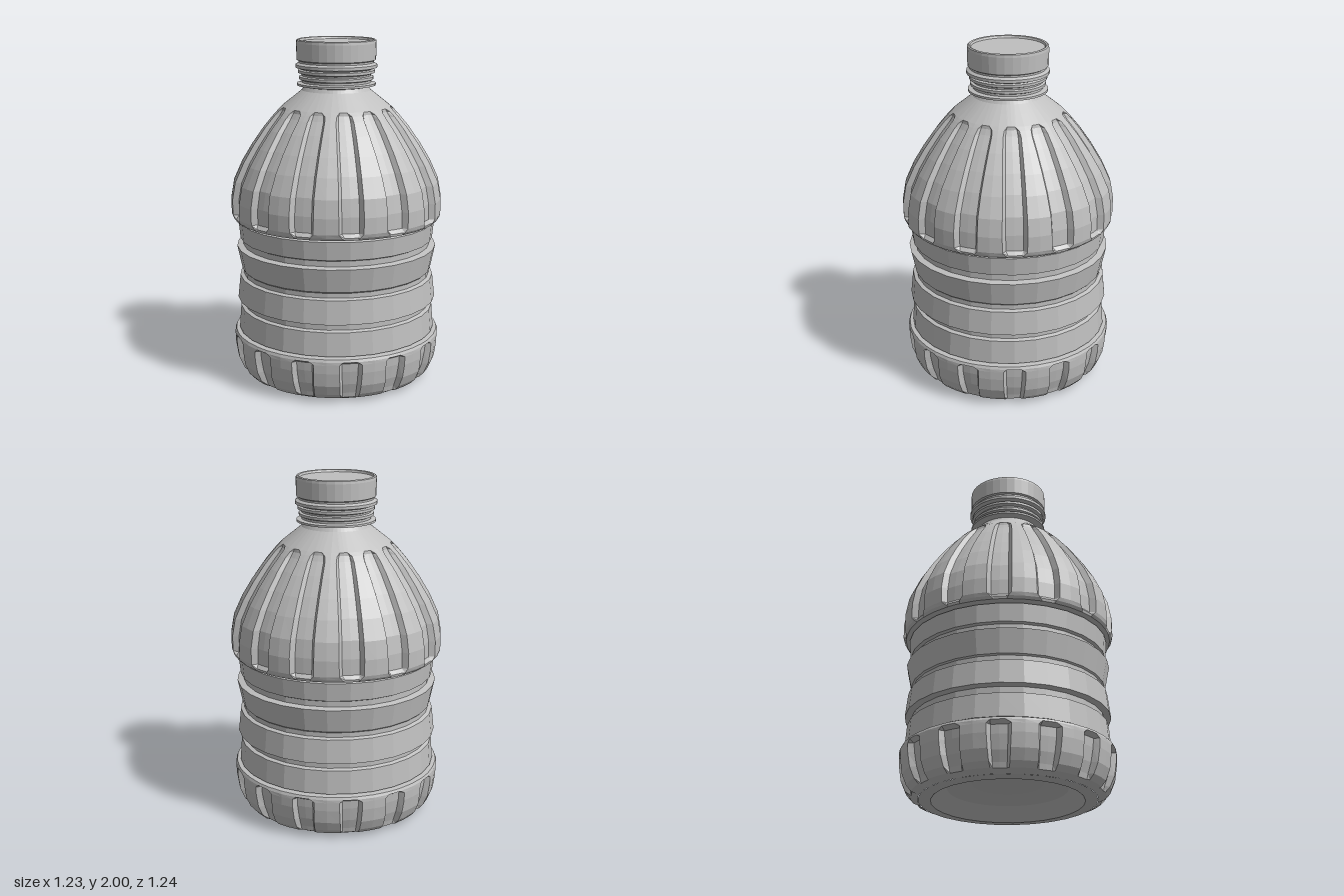
import * as THREE from 'three';

const FLUTES = 14;
const STEP = (Math.PI * 2) / FLUTES;

const plastic = new THREE.MeshStandardMaterial({ color: 0xbfbfbf, flatShading: true });
plastic.name = 'grey plastic';

function addMesh(group, name, geometry) {
  const mesh = new THREE.Mesh(geometry, plastic);
  mesh.name = name;
  group.add(mesh);
}

// Plain turned part; profile points are [radius, height], bottom to top
function turned(profile, segments) {
  return new THREE.LatheGeometry(profile.map(([r, y]) => new THREE.Vector2(r, y)), segments);
}

// Turned part with pressed-in flutes; rows are [height, radius, flute half width, flute depth]
function fluted(rows) {
  const positions = [];
  const indices = [];
  const columns = FLUTES * 6;
  for (const [y, r, half, depth] of rows) {
    const w = half / r;
    const floor = w * 0.74;
    const offsets = [[-w, 0], [-floor, 1], [0, 1], [floor, 1], [w, 0], [STEP / 2, 0]];
    for (let k = 0; k < FLUTES; k++) {
      for (const [offset, pressed] of offsets) {
        const a = Math.PI / 2 + k * STEP + offset;
        const radius = r - depth * pressed;
        positions.push(radius * Math.sin(a), y, radius * Math.cos(a));
      }
    }
  }
  for (let i = 0; i < rows.length - 1; i++) {
    for (let j = 0; j < columns; j++) {
      const a = i * columns + j;
      const b = i * columns + ((j + 1) % columns);
      indices.push(a, b, a + columns, b, b + columns, a + columns);
    }
  }
  const geometry = new THREE.BufferGeometry();
  geometry.setAttribute('position', new THREE.Float32BufferAttribute(positions, 3));
  geometry.setIndex(indices);
  geometry.computeVertexNormals();
  return geometry;
}

export function createModel() {
  const bottle = new THREE.Group();
  bottle.name = 'bottle';

  // Hollow underside with a standing rim
  addMesh(bottle, 'underside', turned([
    [0, 0.12], [0.2, 0.11], [0.34, 0.08], [0.4, 0.03], [0.43, 0.005], [0.5, 0.01],
  ], 28));

  // Base band with short notches
  addMesh(bottle, 'baseBand', fluted([
    [0.01, 0.5, 0.05, 0],
    [0.03, 0.545, 0.05, 0.01],
    [0.06, 0.572, 0.055, 0.03],
    [0.12, 0.598, 0.06, 0.035],
    [0.2, 0.61, 0.065, 0.032],
    [0.25, 0.612, 0.065, 0.03],
    [0.268, 0.612, 0.045, 0],
    [0.283, 0.605, 0.045, 0],
    [0.288, 0.57, 0.045, 0],
  ]));

  // Waist with three narrow grooves
  const waist = [[0.57, 0.288], [0.585, 0.293]];
  for (const [y0, y1, below, above] of [
    [0.43, 0.48, 0.574, 0.59],
    [0.617, 0.66, 0.575, 0.562],
    [0.797, 0.845, 0.59, 0.57],
  ]) {
    waist.push([below, y0], [0.553, y0 + 0.008], [0.553, y1 - 0.008], [above, y1]);
  }
  waist.push([0.58, 0.95], [0.565, 0.956]);
  addMesh(bottle, 'waist', turned(waist, 28));

  // Shoulder with long tapering flutes
  addMesh(bottle, 'shoulder', fluted([
    [0.956, 0.565, 0.04, 0],
    [0.965, 0.6, 0.04, 0],
    [0.98, 0.612, 0.05, 0.008],
    [1.0, 0.618, 0.068, 0.032],
    [1.09, 0.618, 0.07, 0.034],
    [1.19, 0.6, 0.068, 0.034],
    [1.3, 0.55, 0.064, 0.033],
    [1.4, 0.49, 0.06, 0.032],
    [1.5, 0.42, 0.055, 0.03],
    [1.57, 0.362, 0.05, 0.026],
    [1.6, 0.334, 0.042, 0.016],
    [1.618, 0.315, 0.024, 0],
    [1.67, 0.25, 0.024, 0],
    [1.71, 0.2, 0.024, 0],
    [1.735, 0.185, 0.02, 0],
  ]));

  // Neck with stacked collar rings
  addMesh(bottle, 'neck', turned([
    [0.185, 1.73], [0.228, 1.738], [0.228, 1.75], [0.2, 1.755], [0.2, 1.767],
    [0.215, 1.773], [0.215, 1.788], [0.2, 1.793], [0.202, 1.803],
    [0.222, 1.81], [0.222, 1.825], [0.208, 1.83],
  ], 32));

  // Cap with a tamper ring, raised lip and sunken top
  addMesh(bottle, 'cap', turned([
    [0.208, 1.83], [0.236, 1.84], [0.236, 1.857], [0.218, 1.868], [0.218, 1.878],
    [0.229, 1.884], [0.231, 1.98], [0.229, 1.995], [0.222, 2], [0.213, 1.997],
    [0.208, 1.985], [0, 1.985],
  ], 32));

  return bottle;
}
